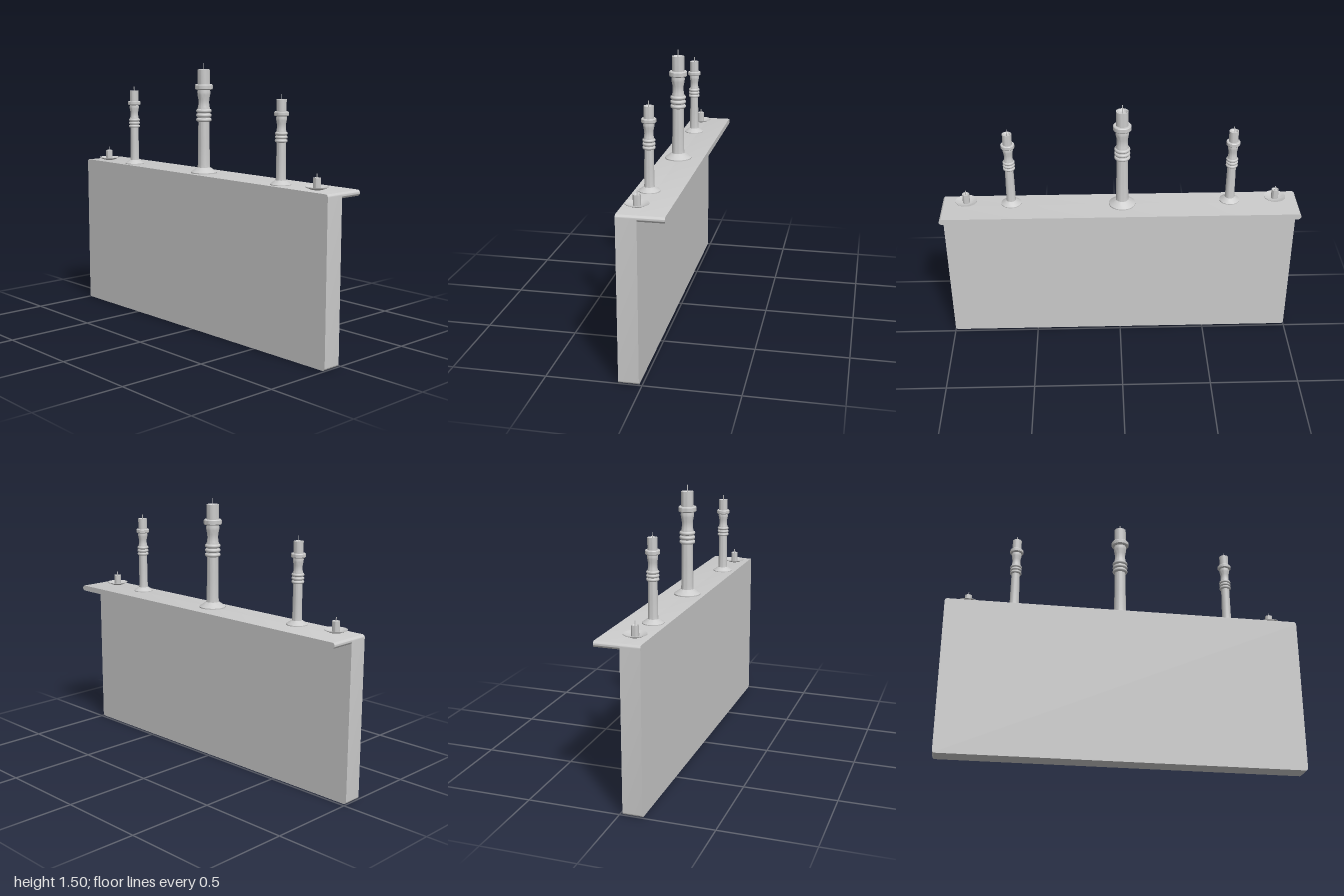
import * as THREE from 'three';
import { toCreasedNormals } from 'three/addons/utils/BufferGeometryUtils.js';

const mat = new THREE.MeshStandardMaterial({ color: 0xcccccc, side: THREE.DoubleSide });

function add(parent, name, geometry) {
  const mesh = new THREE.Mesh(geometry, mat);
  mesh.name = name;
  parent.add(mesh);
  return mesh;
}

// Slab with rounded corners in the z/y plane, extruded along x
function slab(x0, x1, y0, y1, r) {
  const s = new THREE.Shape();
  s.moveTo(-1 + r, y0);
  s.lineTo(1 - r, y0);
  s.absarc(1 - r, y0 + r, r, -Math.PI / 2, 0);
  s.lineTo(1, y1 - r);
  s.absarc(1 - r, y1 - r, r, 0, Math.PI / 2);
  s.lineTo(-1 + r, y1);
  s.absarc(-1 + r, y1 - r, r, Math.PI / 2, Math.PI);
  s.lineTo(-1, y0 + r);
  s.absarc(-1 + r, y0 + r, r, Math.PI, Math.PI * 1.5);
  const g = new THREE.ExtrudeGeometry(s, { depth: x1 - x0, bevelEnabled: false, curveSegments: 6 });
  g.rotateY(Math.PI / 2);
  g.translate(x0, 0, 0);
  return toCreasedNormals(g, 0.6);
}

function lathe(points) {
  const g = new THREE.LatheGeometry(points.map(([r, y]) => new THREE.Vector2(r, y)), 32);
  return toCreasedNormals(g, 0.6);
}

// Candle with a shallow dished top and a wick
function addCandle(parent, r, y0, y1, wickTop) {
  add(parent, 'candle', lathe([[0, y0], [r, y0], [r, y1], [r * 0.85, y1], [r * 0.6, y1 - r * 0.35], [0, y1 - r * 0.45]]));
  const base = y1 - r * 0.5;
  const wick = add(parent, 'wick', new THREE.CylinderGeometry(0.0025, 0.0025, wickTop - base, 8));
  wick.position.y = (wickTop + base) / 2;
}

// Turned candlestick, drawn at full size and scaled for the smaller pair
function candlestick() {
  const g = new THREE.Group();
  g.name = 'candlestick';
  add(g, 'stick', lathe([
    [0, 0], [0.074, 0], [0.074, 0.006], [0.06, 0.015], [0.045, 0.026], [0.036, 0.032],
    [0.034, 0.05], [0.033, 0.17], [0.031, 0.29], [0.036, 0.295],
    [0.036, 0.335], [0.036, 0.36], [0.032, 0.375], [0.030, 0.395], [0.031, 0.415],
    [0.036, 0.44], [0.037, 0.455], [0.034, 0.468], [0.034, 0.475], [0, 0.475],
  ]));
  // Three stacked beads around the stem
  for (const y of [0.3, 0.325, 0.35]) {
    const bead = add(g, 'bead', new THREE.TorusGeometry(0.033, 0.011, 10, 32));
    bead.rotation.x = Math.PI / 2;
    bead.position.y = y;
  }
  add(g, 'drip collar', lathe([
    [0, 0.468], [0.046, 0.468], [0.05, 0.473], [0.05, 0.493], [0.046, 0.498], [0, 0.498],
  ]));
  addCandle(g, 0.034, 0.49, 0.58, 0.615);
  return g;
}

// Low flared dish with a short candle
function dishCandle() {
  const g = new THREE.Group();
  g.name = 'dishCandle';
  add(g, 'dish', lathe([
    [0, 0.003], [0.03, 0.003], [0.042, 0.008], [0.06, 0.016], [0.06, 0.019], [0.042, 0.012], [0.03, 0.008], [0, 0.008],
  ]));
  addCandle(g, 0.02, 0.005, 0.062, 0.083);
  return g;
}

export function createModel() {
  const model = new THREE.Group();
  const top = 0.89;

  add(model, 'wall panel', slab(-0.122, -0.016, 0, top, 0.015));
  add(model, 'shelf', slab(-0.016, 0.12, 0.858, top, 0.0155));

  const place = (part, x, z, scale = 1) => {
    part.position.set(x, top, z);
    part.scale.setScalar(scale);
    model.add(part);
  };
  place(candlestick(), -0.022, -0.012);
  for (const s of [1, -1]) {
    place(candlestick(), -0.044, s * 0.614 - 0.004, 0.76);
    place(dishCandle(), -0.047, s * 0.868 - 0.006);
  }
  return model;
}
